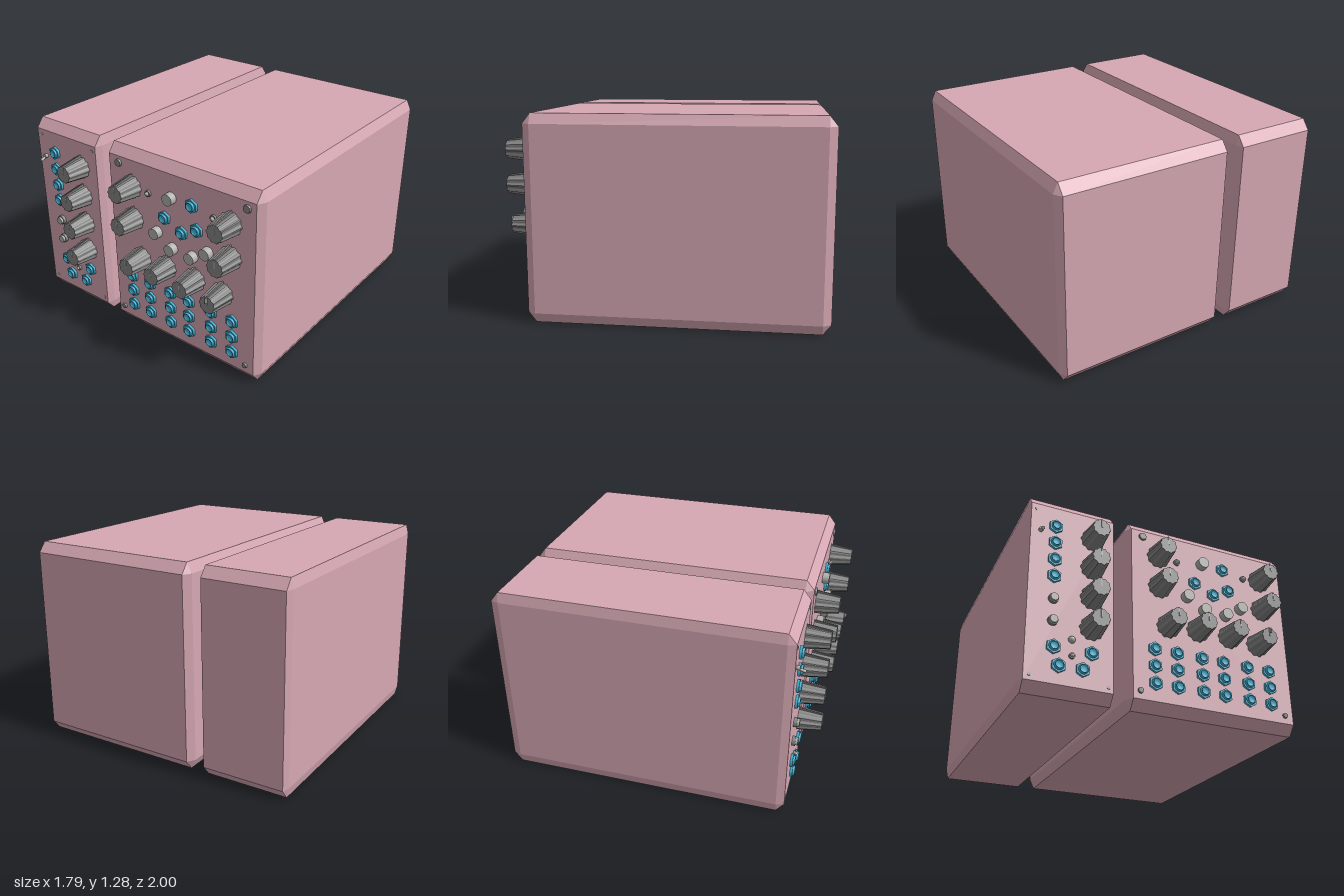
import * as THREE from 'three';
import { ConvexGeometry } from 'three/addons/geometries/ConvexGeometry.js';

const material = (name, color, flatShading = false) => {
  const m = new THREE.MeshStandardMaterial({ color, flatShading });
  m.name = name;
  return m;
};

const FACE = 0.83; // z of the control panel

export function createModel() {
  const pink = material('casePink', 0xd6a8b3);
  const blue = material('jackBlue', 0x42b2d4);
  const grey = material('knobGrey', 0x868686, true);
  const silver = material('buttonSilver', 0xb2b2ae);

  const model = new THREE.Group();
  model.name = 'controlConsole';

  const add = (name, geometry, mat, x = 0, y = 0, z = 0, parent = model) => {
    const mesh = new THREE.Mesh(geometry, mat);
    mesh.name = name;
    mesh.position.set(x, y, z);
    parent.add(mesh);
    return mesh;
  };

  // Cylinder whose back sits on z = 0 and which points forward
  const peg = (rFront, rBack, depth, sides = 20) =>
    new THREE.CylinderGeometry(rFront, rBack, depth, sides)
      .rotateX(Math.PI / 2).translate(0, 0, depth / 2);

  // Case with all edges and corners chamfered
  const chamferedCase = (name, x0, x1, bx) => {
    const h = [(x1 - x0) / 2, 0.64, 0.915];
    const b = [bx, 0.063, 0.05];
    const points = [];
    for (const sx of [-1, 1]) for (const sy of [-1, 1]) for (const sz of [-1, 1])
      for (let axis = 0; axis < 3; axis++) {
        const s = [sx, sy, sz];
        points.push(new THREE.Vector3(...h.map((v, i) => s[i] * (i === axis ? v : v - b[i]))));
      }
    add(name, new ConvexGeometry(points), pink, (x0 + x1) / 2, 0.64, -0.085);
  };
  chamferedCase('narrowCase', -0.895, -0.335, 0.015);
  chamferedCase('wideCase', -0.258, 0.895, 0.031);

  // Fluted, tapering knob body
  const outline = [];
  for (let i = 0; i < 60; i++) {
    const a = (i / 60) * Math.PI * 2;
    const r = 0.071 + 0.0045 * Math.cos(10 * a + 0.6);
    outline.push(new THREE.Vector2(r * Math.cos(a), r * Math.sin(a)));
  }
  const depth = 0.152;
  const knobBody = new THREE.ExtrudeGeometry(new THREE.Shape(outline), { depth, bevelEnabled: false });
  const pos = knobBody.attributes.position;
  for (let i = 0; i < pos.count; i++) {
    const k = 1 - 0.24 * pos.getZ(i) / depth;
    pos.setXY(i, pos.getX(i) * k, pos.getY(i) * k);
  }
  knobBody.computeVertexNormals();

  // Ridge down the top side of the knob
  const ridgeShape = new THREE.Shape([[0, 0.05], [depth, 0.04], [depth, 0.06], [0, 0.082]]
    .map(([z, y]) => new THREE.Vector2(z, y)));
  const ridge = new THREE.ExtrudeGeometry(ridgeShape, { depth: 0.008, bevelEnabled: false })
    .rotateY(-Math.PI / 2).translate(0.004, 0, 0);
  const pointer = new THREE.BoxGeometry(0.007, 0.054, 0.004);

  const knobs = [
    ...[1.047, 0.846, 0.644, 0.443].map((y) => [-0.489, y]),
    [-0.046, 1.047], [0.697, 1.047], [-0.043, 0.829], [0.697, 0.829],
    [0.007, 0.563], [0.211, 0.577], [0.434, 0.577], [0.64, 0.563],
  ];
  knobs.forEach(([x, y]) => {
    const knob = new THREE.Group();
    knob.name = 'knob';
    knob.position.set(x, y, FACE);
    model.add(knob);
    add('knobBody', knobBody, grey, 0, 0, 0, knob);
    add('knobRidge', ridge, grey, 0, 0, 0, knob);
    add('knobPointer', pointer, silver, 0, 0.028, depth + 0.001, knob);
  });
  // Raised marker on the last knob
  add('markerPin', new THREE.BoxGeometry(0.007, 0.03, 0.018), silver, 0.64, 0.598, 0.991);

  // Hexagonal jacks with a round socket collar
  const nut = peg(0.045, 0.045, 0.016, 6);
  const collar = new THREE.LatheGeometry(
    [[0.031, 0], [0.031, 0.02], [0.026, 0.028], [0.022, 0.028], [0.02, 0.02], [0, 0.02]]
      .map(([r, z]) => new THREE.Vector2(r, z)), 18).rotateX(Math.PI / 2);
  blue.side = THREE.DoubleSide;
  const jacks = [
    ...[1.08, 0.965, 0.85, 0.738].map((y) => [-0.726, y]),
    [-0.716, 0.285], [-0.486, 0.285], [-0.683, 0.175], [-0.539, 0.175],
    [0.419, 1.066], [0.208, 0.917], [0.453, 0.917], [0.338, 0.86],
  ];
  for (const x of [-0.086, 0.062, 0.232, 0.381, 0.553, 0.709])
    for (const y of [0.395, 0.285, 0.175]) jacks.push([x, y]);
  jacks.forEach(([x, y]) => {
    add('jackNut', nut, blue, x, y, FACE);
    add('jackCollar', collar, blue, x, y, FACE);
  });

  // Push buttons
  const button = peg(0.037, 0.037, 0.045, 24);
  [[0.265, 1.067], [0.146, 0.8], [0.533, 0.8], [0.265, 0.728], [0.419, 0.728]]
    .forEach(([x, y]) => add('button', button, silver, x, y, FACE));
  for (const y of [0.587, 0.445]) {
    add('smallButtonRim', peg(0.03, 0.03, 0.02), grey, -0.726, y, FACE);
    add('smallButton', peg(0.024, 0.024, 0.035), silver, -0.726, y, FACE);
  }

  // Indicator lamps: grey rim and silver dome
  const lamp = (x, y, r, rim) => {
    if (rim) add('lampRim', peg(r, r, 0.014), grey, x, y, FACE);
    const inner = rim ? r * 0.65 : r;
    const dome = new THREE.SphereGeometry(inner, 16, 8, 0, Math.PI * 2, 0, Math.PI / 2)
      .rotateX(Math.PI / 2);
    add('lamp', dome, silver, x, y, FACE + (rim ? 0.014 : 0));
  };
  lamp(-0.607, 0.35, 0.022, false);
  lamp(-0.605, 0.248, 0.018, true);
  lamp(0.085, 1.04, 0.021, true);
  lamp(0.577, 1.04, 0.021, true);

  // Toggle switch
  add('toggleBase', peg(0.014, 0.014, 0.02, 12), silver, -0.818, 1.035, FACE);
  const lever = add('toggleLever', peg(0.01, 0.007, 0.055, 12), silver, -0.818, 1.033, FACE);
  lever.rotation.x = 0.3;

  // Panel screws
  [[-0.15, 1.173, 0.026], [0.805, 1.173, 0.026], [-0.182, 0.115, 0.018], [0.805, 0.115, 0.017]]
    .forEach(([x, y, r]) => add('screw', peg(r * 0.9, r, 0.012, 12), grey, x, y, FACE));
  for (const x of [-0.846, -0.38]) for (const y of [1.18, 0.098])
    add('smallScrew', peg(0.011, 0.011, 0.003, 10), silver, x, y, FACE);

  return model;
}
